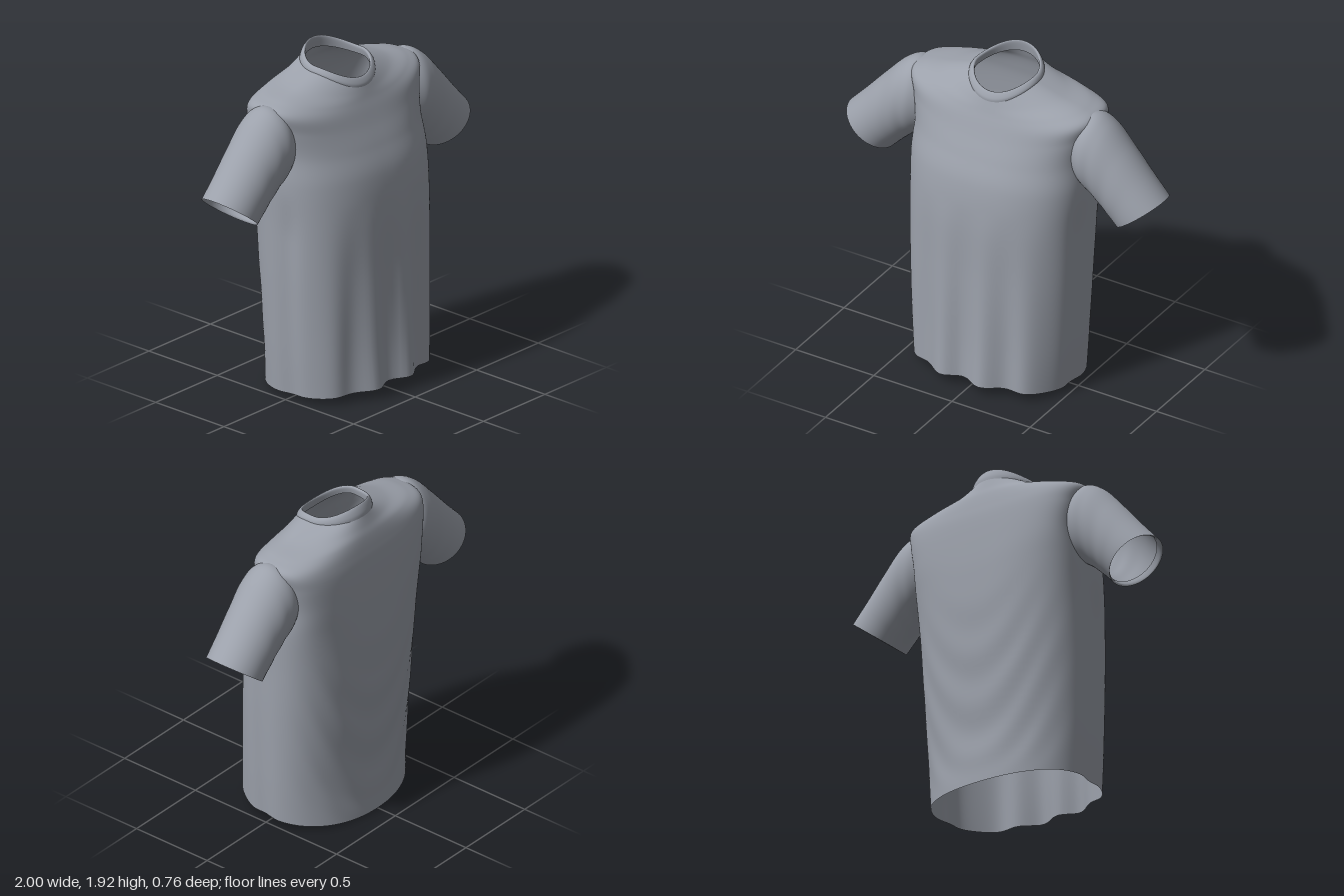
import * as THREE from 'three';

const fabric = new THREE.MeshStandardMaterial({ color: 0x9ca1ab, side: THREE.DoubleSide });
fabric.name = 'greyFabric';

// Smooth interpolation through a list of equal-length parameter rows, t in 0..1
function sampleRows(rows, t) {
  const f = t * (rows.length - 1);
  const i = Math.min(Math.floor(f), rows.length - 2);
  const u = f - i;
  const row = k => rows[THREE.MathUtils.clamp(k, 0, rows.length - 1)];
  const [p, q, r, s] = [row(i - 1), row(i), row(i + 1), row(i + 2)];
  return q.map((b, k) => {
    const m0 = (r[k] - p[k]) / 2, m1 = (s[k] - b) / 2, d = r[k] - b;
    return b + u * m0 + u * u * (3 * d - 2 * m0 - m1) + u * u * u * (m0 + m1 - 2 * d);
  });
}

// Skin a closed tube of cloth over interpolated cross-sections
function loft(name, rows, steps, sides, pointAt) {
  const positions = [], index = [];
  for (let j = 0; j <= steps; j++) {
    const row = sampleRows(rows, j / steps);
    for (let i = 0; i < sides; i++) {
      positions.push(...pointAt(row, (i / sides) * Math.PI * 2, j / steps));
      if (j === steps) continue;
      const a = j * sides + i, b = j * sides + (i + 1) % sides;
      index.push(a, a + sides, b + sides, a, b + sides, b);
    }
  }
  const geometry = new THREE.BufferGeometry();
  geometry.setAttribute('position', new THREE.Float32BufferAttribute(positions, 3));
  geometry.setIndex(index);
  geometry.computeVertexNormals();
  const mesh = new THREE.Mesh(geometry, fabric);
  mesh.name = name;
  return mesh;
}

// Rounded-box section whose front and back may sit at other heights than its sides
function torsoPoint([a, ys, zs, zf, yf, zb, yb, nf, nb], angle) {
  const c = Math.cos(angle), s = Math.sin(angle), front = s >= 0;
  const e = 2 / (front ? nf : nb);
  const x = a * Math.sign(c) * Math.abs(c) ** e;
  const z = zs + ((front ? zf : zb) - zs) * Math.abs(s) ** e;
  const y = ys + ((front ? yf : yb) - ys) * s * s;
  return [x, y, z];
}

// Torso with hanging folds in front, swags behind and a hollow along each side
function drapedPoint(row, angle) {
  const p = torsoPoint(row, angle);
  const [x, y, z] = p, s = Math.sin(angle);
  const { smoothstep, clamp } = THREE.MathUtils;
  if (s > 0) {
    const hang = clamp(1 - y / 1.15, 0, 1);
    p[2] -= 0.028 * hang * s * s * Math.cos((x + 0.03) * Math.PI * 2 / 0.26);
  } else {
    const swag = smoothstep(1.3 - y, 0, 0.7) * smoothstep(y, 0, 0.2);
    p[2] += 0.005 * swag * s * s * Math.cos(20 * (y - 3 * x * x));
  }
  const hollow = 0.016 * smoothstep(1.25 - y, 0, 0.3) * Math.exp(-(((z - 0.03) / 0.06) ** 2));
  p[0] -= Math.sign(x) * hollow;
  return p;
}

// halfWidth, sideY, sideZ, frontZ, frontY, backZ, backY, front and back squareness
const torsoRows = [
  [0.485, 0.03, -0.03, 0.360, 0.06, -0.375, 0.00, 2.45, 2.15],
  [0.503, 0.30, -0.03, 0.348, 0.30, -0.360, 0.30, 2.5, 2.25],
  [0.520, 0.70, -0.03, 0.340, 0.70, -0.372, 0.70, 2.5, 2.4],
  [0.528, 1.05, -0.04, 0.335, 1.05, -0.380, 1.05, 2.45, 2.65],
  [0.535, 1.28, -0.05, 0.308, 1.28, -0.375, 1.28, 2.4, 3.1],
  [0.530, 1.45, -0.07, 0.255, 1.43, -0.362, 1.46, 2.45, 3.9],
  [0.555, 1.60, -0.08, 0.208, 1.54, -0.348, 1.60, 2.5, 3.9],
  [0.575, 1.705, -0.08, 0.176, 1.62, -0.333, 1.68, 2.5, 3.3],
  [0.500, 1.744, -0.08, 0.155, 1.67, -0.315, 1.75, 2.3, 2.6],
  [0.360, 1.775, -0.07, 0.140, 1.71, -0.295, 1.80, 2.0, 2.1],
  [0.200, 1.830, -0.06, 0.125, 1.750, -0.272, 1.86, 2.0, 2.0],
];

// Flat ribbed neck band, rolled over to the inside
const collarRows = [
  [0.208, 1.818, -0.06, 0.132, 1.738, -0.278, 1.852, 2, 2],
  [0.207, 1.834, -0.06, 0.131, 1.755, -0.275, 1.875, 2, 2],
  [0.198, 1.850, -0.065, 0.120, 1.778, -0.264, 1.903, 2, 2],
  [0.186, 1.857, -0.065, 0.109, 1.790, -0.252, 1.920, 2, 2],
  [0.177, 1.847, -0.065, 0.103, 1.780, -0.245, 1.908, 2, 2],
  [0.183, 1.810, -0.06, 0.109, 1.735, -0.253, 1.850, 2, 2],
];

// Sleeve sections: upper x, y, lower x, y, centre z, half depth
const sleeveRows = [
  [0.43, 1.660, 0.48, 1.32, -0.08, 0.130],
  [0.55, 1.730, 0.53, 1.28, -0.08, 0.174],
  [0.65, 1.692, 0.585, 1.24, -0.08, 0.178],
  [0.77, 1.567, 0.635, 1.195, -0.08, 0.172],
  [0.89, 1.430, 0.685, 1.147, -0.08, 0.168],
  [1.00, 1.310, 0.73, 1.100, -0.08, 0.165],
];
const cuffRows = [
  [1.00, 1.310, 0.73, 1.100, -0.08, 0.165],
  [0.985, 1.312, 0.73, 1.114, -0.08, 0.160],
  [0.955, 1.340, 0.712, 1.135, -0.08, 0.160],
];

function sleevePoint(side) {
  return ([ux, uy, lx, ly, zc, depth], angle, t) => {
    const c = Math.cos(angle), s = Math.sin(angle);
    // soft creases gathering near the underarm
    const crease = 1 + 0.006 * Math.sin(t * Math.PI) * (1 - c) * Math.cos(26 * t + 2 * c);
    const x = (ux + lx) / 2 + (ux - lx) / 2 * c;
    const y = (uy + ly) / 2 + (uy - ly) / 2 * c;
    return [side * x, y, zc - side * depth * s * crease];
  };
}

export function createModel() {
  const shirt = new THREE.Group();
  shirt.name = 'shirt';
  shirt.add(loft('torso', torsoRows, 90, 144, drapedPoint));
  shirt.add(loft('collar', collarRows, 20, 80, torsoPoint));
  for (const [label, side] of [['left', 1], ['right', -1]]) {
    shirt.add(loft(label + 'Sleeve', sleeveRows, 40, 64, sleevePoint(side)));
    shirt.add(loft(label + 'CuffHem', cuffRows, 6, 64, sleevePoint(side)));
  }
  return shirt;
}
